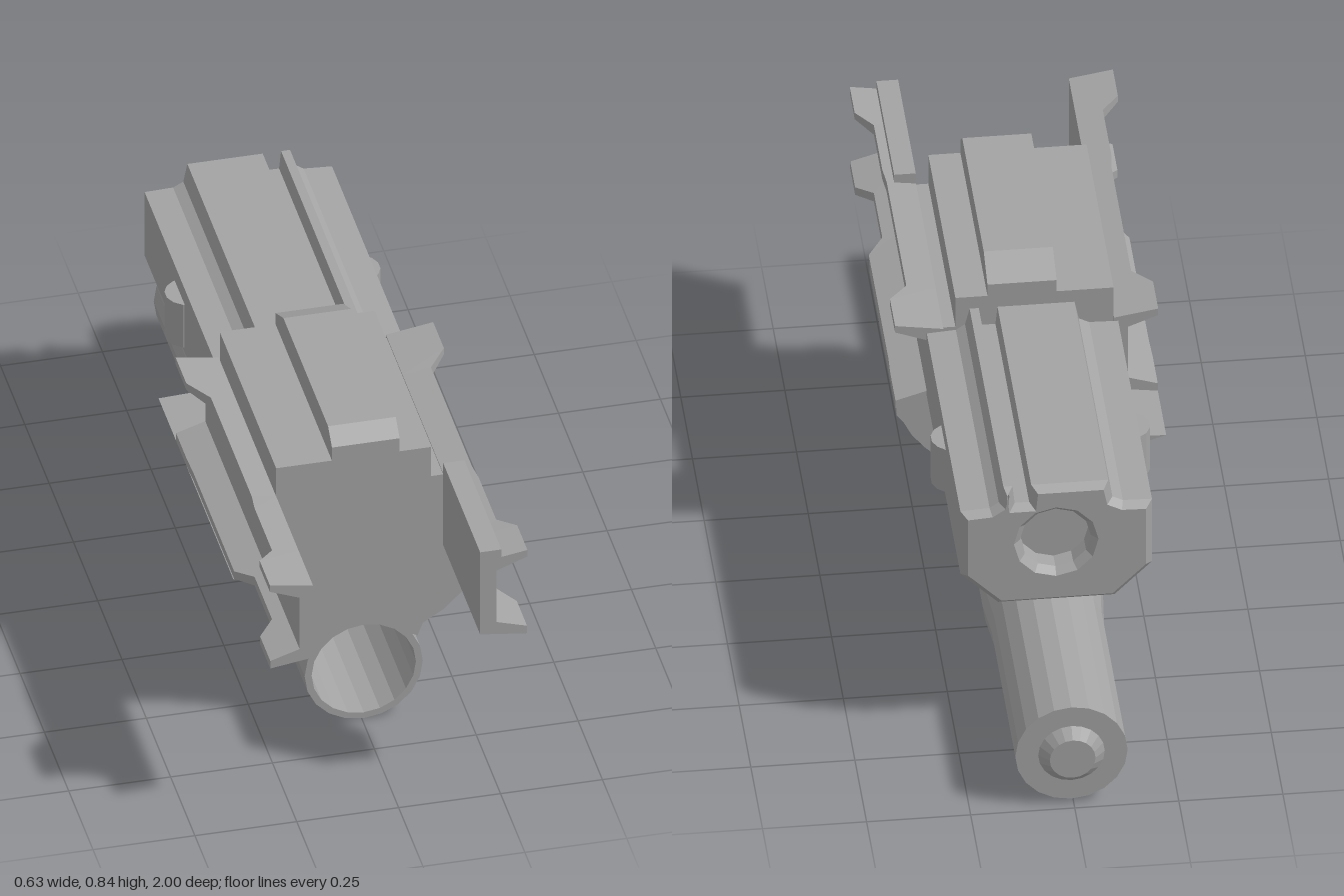
import * as THREE from 'three';

const metal = new THREE.MeshStandardMaterial({ color: 0xa3a3a3 });
metal.name = 'grey metal';

// Flat-faced normals
function facet(g) {
  const f = g.index ? g.toNonIndexed() : g;
  f.computeVertexNormals();
  return f;
}

// Skin a run of counter-clockwise xy outlines placed at ascending z, with end caps
function loft(outlines, zs) {
  const n = outlines[0].length, pos = [], idx = [];
  outlines.forEach((o, k) => o.forEach(([x, y]) => pos.push(x, y, zs[k])));
  for (let k = 0; k < zs.length - 1; k++) {
    for (let i = 0; i < n; i++) {
      const a = k * n + i, b = k * n + (i + 1) % n;
      idx.push(a, b, b + n, a, b + n, a + n);
    }
  }
  const cap = (o) => THREE.ShapeUtils.triangulateShape(o.map(p => new THREE.Vector2(...p)), []);
  const top = (zs.length - 1) * n;
  cap(outlines[0]).forEach(([a, b, c]) => idx.push(c, b, a));
  cap(outlines[zs.length - 1]).forEach(([a, b, c]) => idx.push(top + a, top + b, top + c));
  const g = new THREE.BufferGeometry();
  g.setAttribute('position', new THREE.Float32BufferAttribute(pos, 3));
  g.setIndex(idx);
  return facet(g);
}
const prism = (o, z0, z1) => loft([o, o], [z0, z1]);

export function createModel() {
  const model = new THREE.Group();
  const add = (name, g) => {
    const m = new THREE.Mesh(g, metal);
    m.name = name;
    model.add(m);
    return m;
  };

  // Lower tube: open at the front, necked down and capped at the rear
  const tube = new THREE.LatheGeometry([
    [0, 0.85], [0.128, 0.85], [0.128, -0.62], [0.145, -0.62], [0.145, 0.36], [0.135, 0.47],
    [0.135, 0.975], [0.08, 0.975], [0.055, 1], [0, 1],
  ].map(p => new THREE.Vector2(...p)), 20);
  tube.rotateX(-Math.PI / 2).translate(0.005, 0.147, 0);
  add('lowerTube', facet(tube));

  // Main body with flared skirts that flow down to the tube
  const leftFlare = [[-0.315, 0.46], [-0.25, 0.44], [-0.2, 0.405], [-0.155, 0.355],
    [-0.13, 0.3], [-0.122, 0.25], [-0.124, 0.215]];
  const saddle = [];
  for (let i = 1; i < 8; i++) {
    const a = Math.PI * (0.86 - 0.72 * i / 8);
    saddle.push([0.005 + 0.137 * Math.cos(a), 0.147 + 0.137 * Math.sin(a)]);
  }
  add('mainBody', prism([
    ...leftFlare, ...saddle,
    [0.137, 0.222], [0.15, 0.257], [0.2, 0.288], [0.245, 0.332], [0.275, 0.37],
    [0.295, 0.41], [0.311, 0.43], [0.311, 0.465], [0.2, 0.48],
    [0.2, 0.682], [0.17, 0.682], [0.17, 0.767], [-0.21, 0.767], [-0.21, 0.48],
  ], 0.04, 0.62));

  // Skirt bracket reaching back under the rear housing
  add('rearBracket', prism([
    ...leftFlare, ...saddle.slice(0, 5),
    [0.07, 0.29], [-0.02, 0.33], [-0.1, 0.39], [-0.2, 0.465],
  ], -0.15, 0.05));
  const neck = new THREE.BoxGeometry(0.26, 0.32, 0.14);
  add('neck', neck.translate(0, 0.49, -0.01));

  // Raised top block with sloped ends
  const hump = prism([[-0.62, 0.74], [-0.04, 0.74], [-0.04, 0.8],
    [-0.12, 0.84], [-0.58, 0.84], [-0.62, 0.805]], -0.073, 0.093);
  add('topBlock', hump.rotateY(Math.PI / 2));

  // Side rails: channels whose flanges narrow along their length
  const stations = [
    [0.03, 0.316, 0.315], [0.14, 0.316, 0.315], [0.2, 0.27, 0.313], [0.62, 0.27, 0.313],
    [0.67, 0.275, 0.275], [0.85, 0.275, 0.275], [0.895, 0.316, 0.315], [1, 0.316, 0.315],
  ];
  const railOutline = (side, inner, web, top, low) => {
    const t = (top - 0.243) / 0.073, b = (low - 0.243) / 0.072;
    const o = [
      [inner, 0.475], [low, 0.478 - 0.018 * b], [low, 0.505 - 0.023 * b], [web, 0.505],
      [web, 0.655], [top, 0.655 + 0.029 * t], [top, 0.69 + 0.013 * t], [inner, 0.685],
    ].map(([x, y]) => [x * side, y]);
    return side > 0 ? o : o.reverse();
  };
  for (const [side, name, inner, web] of [[1, 'leftRail', 0.2, 0.24], [-1, 'rightRail', 0.21, 0.243]]) {
    add(name, loft(stations.map(([, t, b]) => railOutline(side, inner, web, t, b)), stations.map(s => s[0])));
  }
  add('railTopStrip', new THREE.BoxGeometry(0.052, 0.04, 0.38).translate(0.226, 0.695, 0.81));

  // Rear housing: stepped top with a narrow slot, chamfered underside
  const housing = [
    [-0.13, 0.4], [0.15, 0.4], [0.24, 0.49], [0.24, 0.675], [0.17, 0.68], [0.148, 0.695],
    [0.137, 0.74], [0.115, 0.74], [0.11, 0.69], [0.075, 0.69], [0.07, 0.74],
    [-0.115, 0.74], [-0.125, 0.69], [-0.15, 0.677], [-0.22, 0.675], [-0.22, 0.49],
  ];
  add('rearHousing', prism(housing, -0.65, 0.03));

  // Bevelled end of the housing with a round socket
  const endShape = new THREE.Shape(housing.map(p => new THREE.Vector2(...p)));
  const socket = new THREE.Path();
  socket.absarc(0.012, 0.58, 0.085, 0, Math.PI * 2, true);
  endShape.holes.push(socket);
  const end = new THREE.ExtrudeGeometry(endShape, {
    depth: 0.07, curveSegments: 6, bevelEnabled: true, bevelSegments: 1,
    bevelThickness: 0.018, bevelSize: 0.016, bevelOffset: -0.016,
  });
  add('housingEnd', facet(end.translate(0, 0, -0.692)));

  // Rounded side lugs
  for (const [name, x] of [['leftLug', 0.215], ['rightLug', -0.2]]) {
    const lug = new THREE.CylinderGeometry(0.056, 0.056, 0.125, 14);
    add(name, facet(lug.translate(x, 0.567, -0.33)));
  }

  return model;
}
